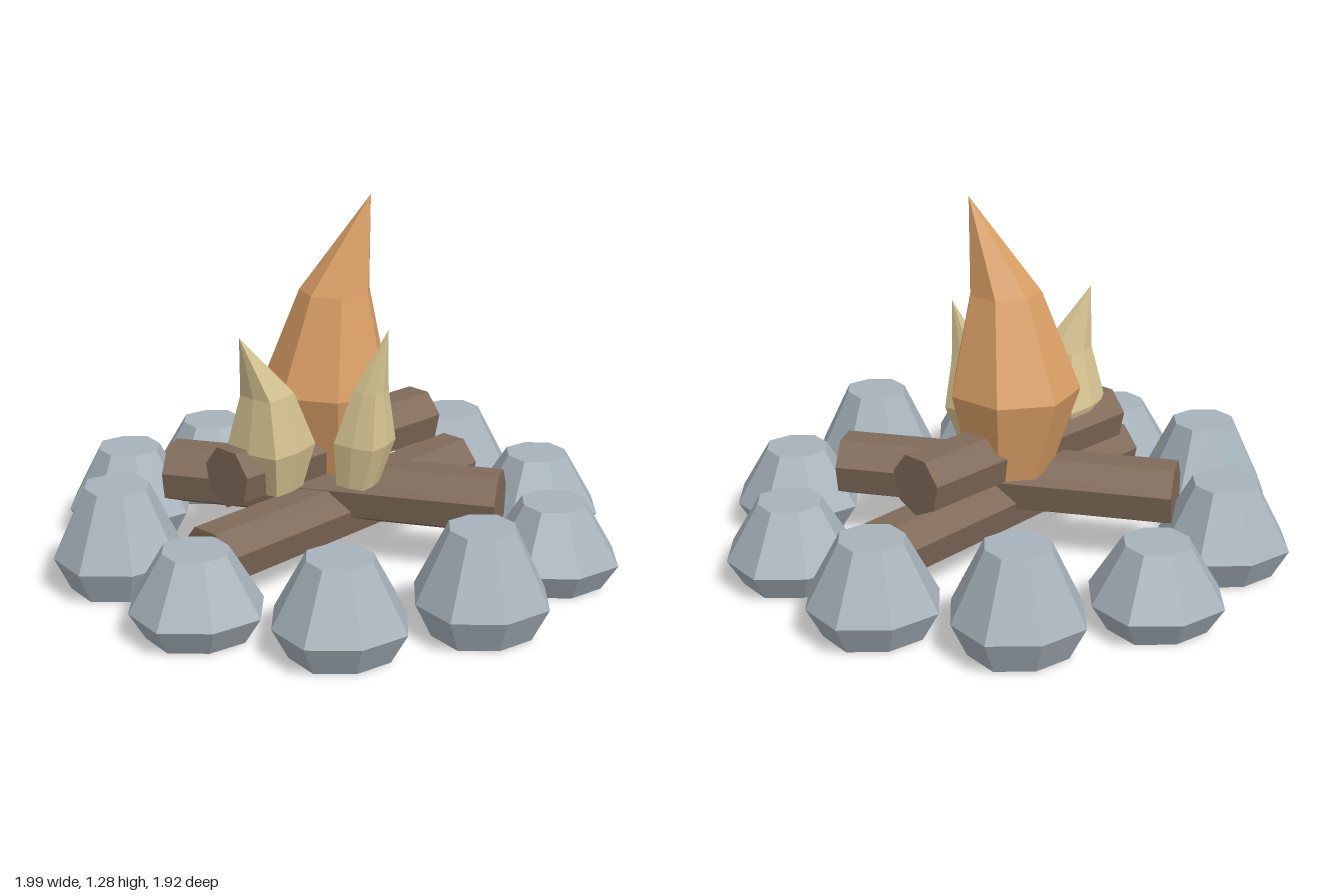
import * as THREE from 'three';

const mat = (name, color) => {
  const m = new THREE.MeshStandardMaterial({ color });
  m.name = name;
  return m;
};

// Faceted solid from stacked rings [y, radius, centreX, centreZ]; odd corners scaled by `odd`
function loft(rings, sides, start = 0, odd = 1) {
  const pos = [];
  const point = ([y, r, cx = 0, cz = 0], i) => {
    const k = i % sides, a = start + (k / sides) * Math.PI * 2;
    const rr = r * (k % 2 ? odd : 1);
    return [cx + rr * Math.cos(a), y, cz + rr * Math.sin(a)];
  };
  const tri = (a, b, c) => pos.push(...a, ...b, ...c);
  const low = rings[0], top = rings[rings.length - 1];
  for (let i = 0; i < sides; i++) {
    for (let j = 0; j < rings.length - 1; j++) {
      const a = point(rings[j], i), b = point(rings[j], i + 1);
      const c = point(rings[j + 1], i), d = point(rings[j + 1], i + 1);
      tri(a, c, b);
      if (rings[j + 1][1] > 0) tri(b, c, d);
    }
    tri([low[2] ?? 0, low[0], low[3] ?? 0], point(low, i), point(low, i + 1));
    if (top[1] > 0) tri([top[2] ?? 0, top[0], top[3] ?? 0], point(top, i + 1), point(top, i));
  }
  const g = new THREE.BufferGeometry();
  g.setAttribute('position', new THREE.Float32BufferAttribute(pos, 3));
  g.computeVertexNormals();
  return g;
}

// Seven-sided log lying level between two [x, z] ends
function logGeometry(from, to, y, r) {
  const dx = to[0] - from[0], dz = to[1] - from[1];
  let g = new THREE.CylinderGeometry(r, r, Math.hypot(dx, dz), 7);
  g.rotateX(Math.PI / 2);
  g.rotateY(Math.atan2(dx, dz));
  g.translate((from[0] + to[0]) / 2, y, (from[1] + to[1]) / 2);
  g = g.toNonIndexed();
  g.computeVertexNormals();
  return g;
}

export function createModel() {
  const model = new THREE.Group();
  model.name = 'campfire';
  const stone = mat('stone grey', 0xa6b2bb);
  const wood = mat('log brown', 0x806a59);
  const orange = mat('flame orange', 0xdba066);
  const yellow = mat('flame yellow', 0xd5c290);
  const add = (name, geometry, material) => {
    const mesh = new THREE.Mesh(geometry, material);
    mesh.name = name;
    model.add(mesh);
    return mesh;
  };

  // Ring of ten stones in three repeating heights
  const heights = [0.285, 0.355, 0.32];
  for (let i = 0; i < 10; i++) {
    const h = heights[i % 3];
    const a = ((i + 1) / 10) * Math.PI * 2;
    const g = loft([[0, 0.168], [h * 0.325, 0.223], [h, 0.11]], 8, 0.03, 1.06);
    add('stone' + (i + 1), g, stone).position.set(0.774 * Math.cos(a), 0, 0.774 * Math.sin(a));
  }

  // Crossed logs
  add('bottomLog', logGeometry([-0.55, 0.29], [0.57, -0.29], 0.172, 0.112), wood);
  add('middleLog', logGeometry([-0.495, -0.345], [0.485, 0.325], 0.25, 0.115), wood);
  add('topLog', logGeometry([-0.43, 0.135], [0.415, -0.26], 0.387, 0.107), wood);

  // Leaning flames
  add('largeFlame', loft([
    [0.32, 0.145, 0.01, -0.07],
    [0.61, 0.228, -0.005, -0.07],
    [0.95, 0.125, 0.02, -0.05],
    [1.28, 0, 0.135, -0.02],
  ], 7, -0.06), orange);
  add('leftFlame', loft([
    [0.32, 0.1, -0.255, 0.1],
    [0.47, 0.15, -0.262, 0.1],
    [0.66, 0.09, -0.28, 0.12],
    [0.87, 0, -0.38, 0.14],
  ], 8, 0.2, 0.8), yellow);
  add('rightFlame', loft([
    [0.32, 0.075, 0.025, 0.165],
    [0.47, 0.108, 0.05, 0.165],
    [0.65, 0.063, 0.07, 0.165],
    [0.86, 0, 0.125, 0.183],
  ], 8, 0.1, 0.8), yellow);

  return model;
}
